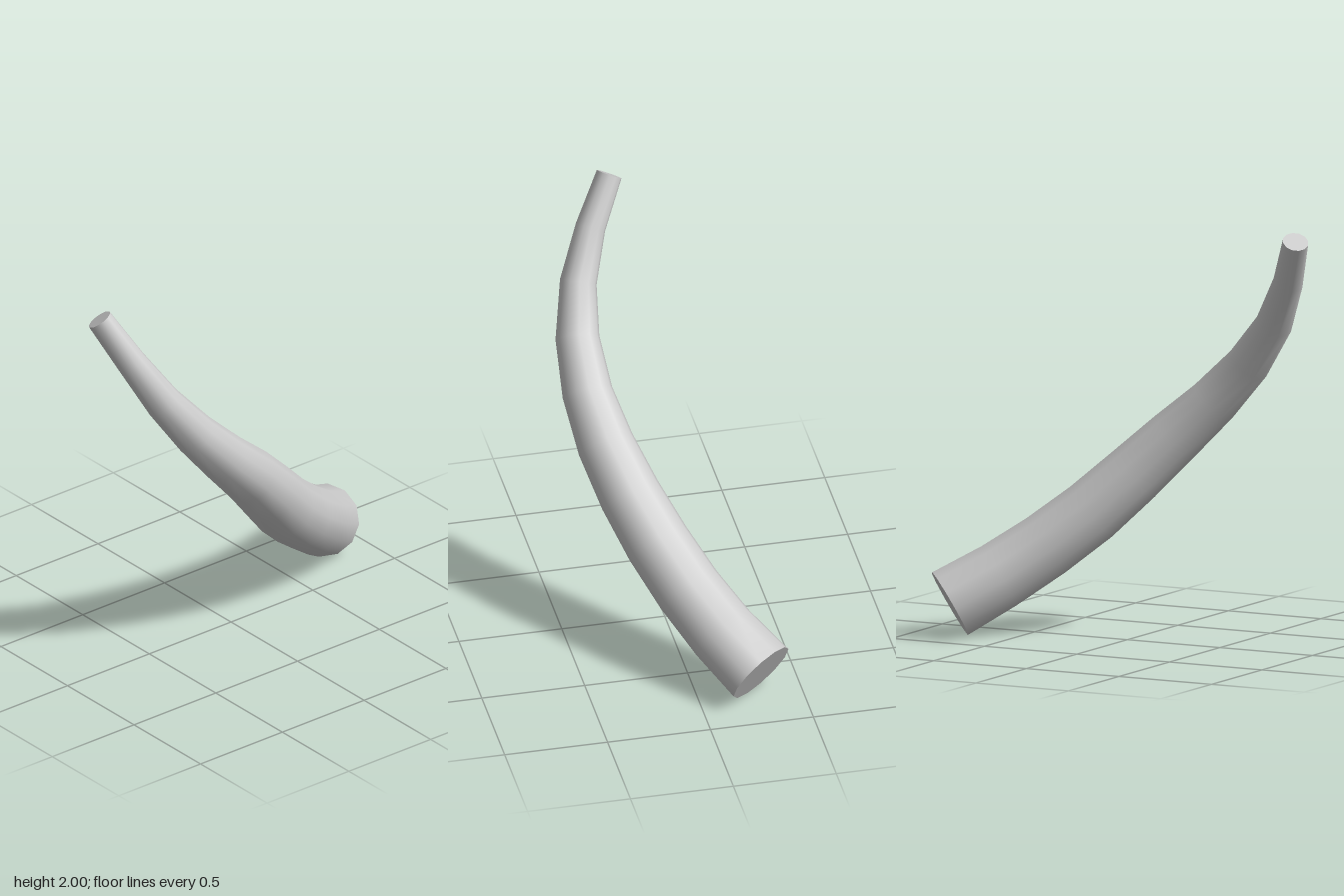
import * as THREE from 'three';

const SIDES = 12;

// Centre line of the horn, from its wide base to its narrow tip
const spine = new THREE.CatmullRomCurve3([
  [-0.29, 0.155, -0.80], [-0.10, 0.33, -0.55], [0.09, 0.59, -0.24],
  [0.245, 0.90, 0.06], [0.31, 1.13, 0.30], [0.31, 1.40, 0.55],
  [0.27, 1.55, 0.655], [0.19, 1.75, 0.765], [0.077, 1.967, 0.867],
].map((p) => new THREE.Vector3(...p)));

// Radii at evenly spaced stations along the centre line
const radii = [0.175, 0.167, 0.162, 0.158, 0.150, 0.138, 0.121, 0.105, 0.088, 0.072, 0.062];

// Rings of points square to the centre line
function makeRings() {
  const last = radii.length - 1;
  const frames = spine.computeFrenetFrames(last);
  return radii.map((r, i) => {
    const centre = spine.getPointAt(i / last);
    return Array.from({ length: SIDES }, (_, j) => {
      const a = (j / SIDES) * Math.PI * 2;
      return centre.clone()
        .addScaledVector(frames.normals[i], Math.cos(a) * r)
        .addScaledVector(frames.binormals[i], Math.sin(a) * r);
    });
  });
}

function makeMesh(name, points, index, material) {
  const geometry = new THREE.BufferGeometry().setFromPoints(points);
  geometry.setIndex(index);
  geometry.computeVertexNormals();
  const mesh = new THREE.Mesh(geometry, material);
  mesh.name = name;
  return mesh;
}

// Flat polygon closing one end
function makeCap(name, ring, reversed, material) {
  const index = [];
  for (let j = 1; j < SIDES - 1; j++) {
    index.push(0, ...(reversed ? [j + 1, j] : [j, j + 1]));
  }
  return makeMesh(name, ring, index, material);
}

export function createModel() {
  const group = new THREE.Group();
  group.name = 'horn';
  const material = new THREE.MeshStandardMaterial({ color: 0xcccccc });
  const rings = makeRings();

  // Smooth tapering body
  const index = [];
  for (let i = 0; i < rings.length - 1; i++) {
    for (let j = 0; j < SIDES; j++) {
      const k = (j + 1) % SIDES;
      const a = i * SIDES + j, b = i * SIDES + k;
      index.push(a, b, b + SIDES, a, b + SIDES, a + SIDES);
    }
  }
  group.add(makeMesh('hornBody', rings.flat(), index, material));

  // Flat ends
  group.add(makeCap('baseCap', rings[0], true, material));
  group.add(makeCap('tipCap', rings[rings.length - 1], false, material));
  return group;
}
